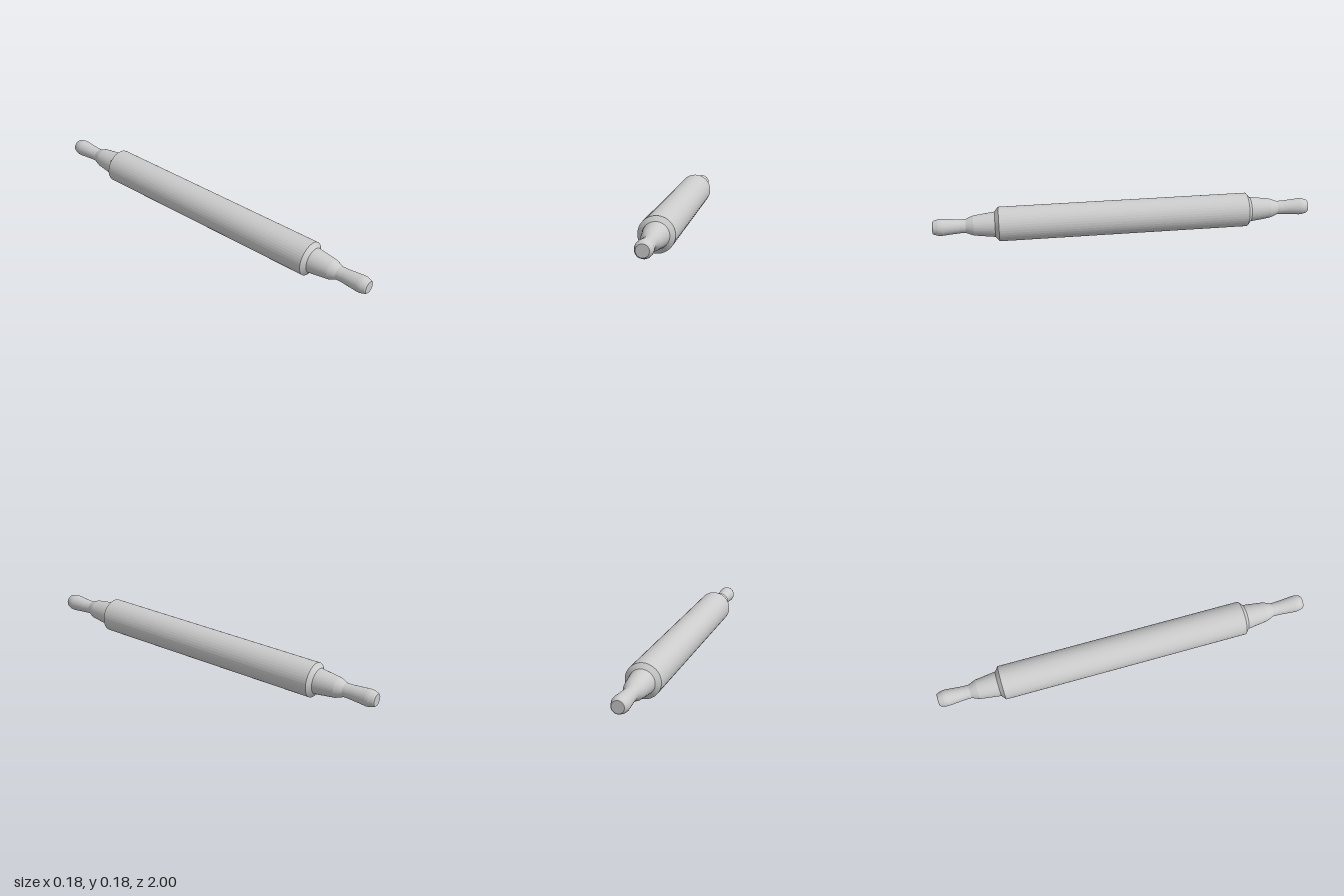
import * as THREE from 'three';

const RADIUS = 0.09;
const SIDES = 40;

// Turned part: profile of [radius, distance along z]
function turned(name, profile, material) {
  const points = profile.map(([r, z]) => new THREE.Vector2(r, z));
  const geometry = new THREE.LatheGeometry(points, SIDES);
  geometry.rotateX(Math.PI / 2);
  const mesh = new THREE.Mesh(geometry, material);
  mesh.name = name;
  return mesh;
}

export function createModel() {
  const group = new THREE.Group();
  group.name = 'rollingPin';
  const material = new THREE.MeshStandardMaterial({ color: 0xcccccc, flatShading: true });

  // Main roller with chamfered ends
  const roller = turned('roller', [
    [0, -0.68], [0.066, -0.68], [RADIUS, -0.66],
    [RADIUS, 0.66], [0.066, 0.68], [0, 0.68],
  ], material);
  roller.position.y = RADIUS;
  group.add(roller);

  // Tapered collar and flared grip at each end
  for (const [side, angle] of [['front', 0], ['back', Math.PI]]) {
    const handle = new THREE.Group();
    handle.name = side + 'Handle';
    handle.add(turned('collar', [
      [0.066, 0.68], [0.061, 0.72], [0.052, 0.79], [0.046, 0.806], [0.036, 0.83],
    ], material));
    handle.add(turned('grip', [
      [0.036, 0.83], [0.036, 0.86], [0.04, 0.91], [0.044, 0.955],
      [0.043, 0.97], [0.036, 0.994], [0.031, 1], [0, 1],
    ], material));
    handle.position.y = RADIUS;
    handle.rotation.y = angle;
    group.add(handle);
  }
  return group;
}
